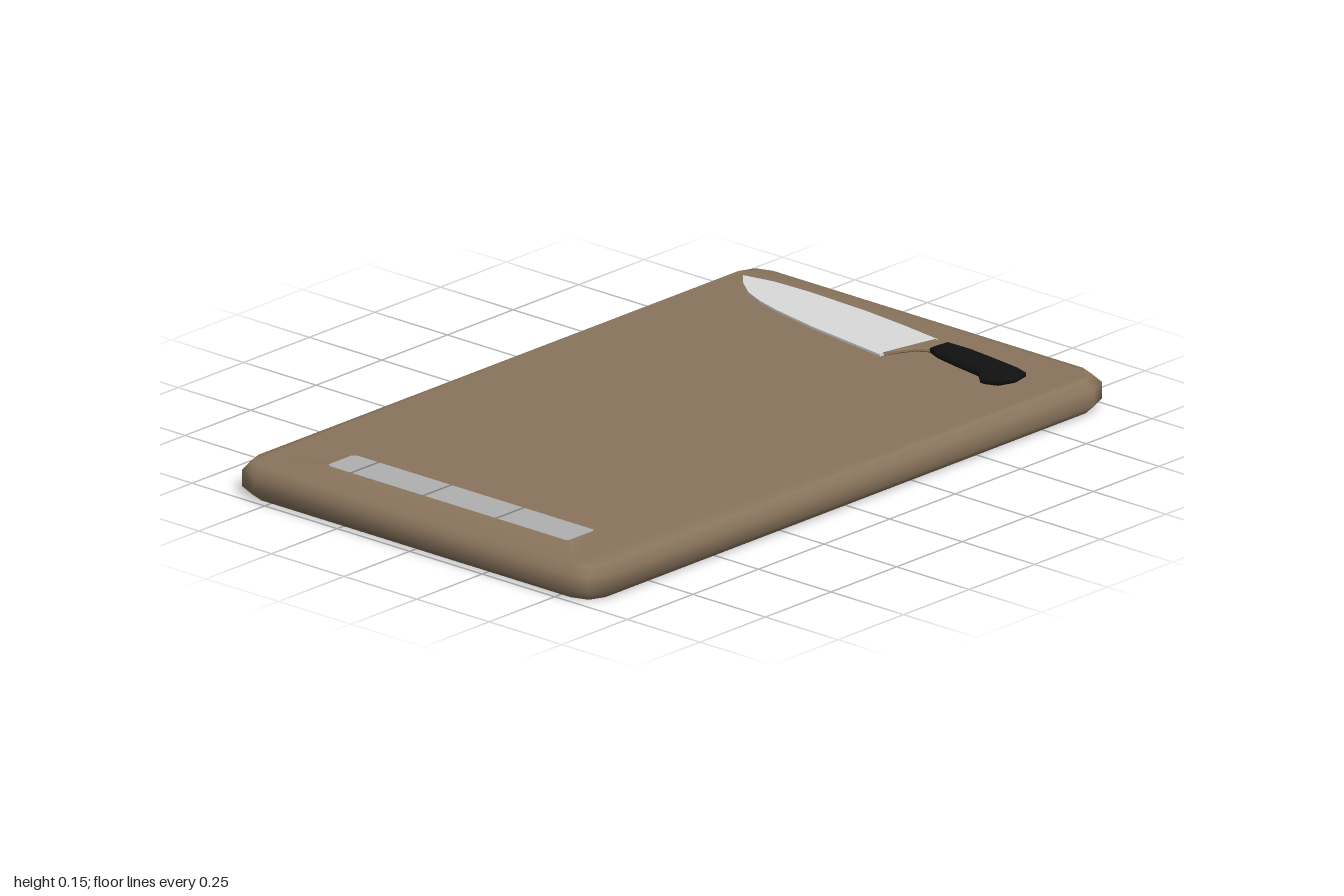
import * as THREE from 'three';
import { mergeVertices, toCreasedNormals } from 'three/addons/utils/BufferGeometryUtils.js';

const wood = new THREE.MeshStandardMaterial({ name: 'wood', color: 0x8a755d });
const steel = new THREE.MeshStandardMaterial({ name: 'steel', color: 0xdcdcdc });
const black = new THREE.MeshStandardMaterial({ name: 'black', color: 0x111111 });

// Rectangle outline with a two-step chamfer at each corner
function chamferedCorners(x0, x1, z0, z1, steps) {
  const cx = (x0 + x1) / 2, cz = (z0 + z1) / 2;
  const hx = (x1 - x0) / 2, hz = (z1 - z0) / 2;
  const points = [];
  for (const [sx, sz] of [[1, 1], [-1, 1], [-1, -1], [1, -1]]) {
    const corner = steps.map(([dx, dz]) => [cx + sx * (hx - dx), cz + sz * (hz - dz)]);
    points.push(...(sx * sz > 0 ? corner : corner.reverse()));
  }
  return points;
}

const toVectors = (points) => points.map(([x, z]) => new THREE.Vector2(x, -z));

// Flat slab lying in the xz plane, its underside at y = bottom, with bevelled rims
function slab(points, bottom, height, bevel, rise, hole) {
  const shape = new THREE.Shape(toVectors(points));
  if (hole) shape.holes.push(new THREE.Path(toVectors(hole)));
  const geometry = new THREE.ExtrudeGeometry(shape, {
    depth: height - 2 * rise,
    bevelEnabled: bevel > 0,
    bevelSize: bevel,
    bevelOffset: -bevel,
    bevelThickness: rise,
    bevelSegments: 1,
  });
  geometry.translate(0, 0, rise);
  geometry.rotateX(-Math.PI / 2);
  geometry.translate(0, bottom, 0);
  return geometry;
}

// Share vertices so the shading runs smoothly over the edges
function smooth(geometry) {
  geometry.deleteAttribute('uv');
  geometry.deleteAttribute('normal');
  const merged = mergeVertices(geometry, 1e-4);
  merged.clearGroups();
  merged.computeVertexNormals();
  return merged;
}

function part(name, geometry, material, parent) {
  const mesh = new THREE.Mesh(geometry, material);
  mesh.name = name;
  parent.add(mesh);
}

export function createModel() {
  const model = new THREE.Group();
  model.name = 'cuttingBoardWithKnife';

  // Board with a grip slot near one end
  const rim = chamferedCorners(-1, 1, -0.623, 0.623, [[0, 0.085], [0.022, 0.025], [0.08, 0]]);
  const slot = chamferedCorners(-0.88, -0.725, -0.443, 0.443, [[0, 0.025], [0.025, 0]]);
  part('board', smooth(slab(rim, 0, 0.092, 0.025, 0.024, slot)), wood, model);

  // Knife, tilted so that the tip is lowest
  const knife = new THREE.Group();
  knife.name = 'knife';
  knife.position.y = 0.119;
  knife.rotation.x = -0.034;
  model.add(knife);

  const blade = [
    [0.63, 0.147], [0.81, 0.184], [0.838, 0.04], [0.862, -0.11], [0.884, -0.32],
    [0.889, -0.45], [0.877, -0.548], [0.83, -0.505], [0.785, -0.446], [0.752, -0.375],
    [0.727, -0.3], [0.684, -0.13],
  ];
  part('blade', toCreasedNormals(slab(blade, -0.003, 0.006, 0, 0), 0.6), steel, knife);

  const bolster = [
    [0.637, 0.147], [0.805, 0.18], [0.8, 0.228], [0.737, 0.224], [0.72, 0.19], [0.69, 0.17],
  ];
  part('bolster', toCreasedNormals(slab(bolster, -0.006, 0.012, 0.004, 0.003), 0.6), wood, knife);

  const handle = [
    [0.738, 0.22], [0.802, 0.226], [0.797, 0.32], [0.782, 0.41], [0.765, 0.5], [0.749, 0.543],
    [0.706, 0.553], [0.655, 0.532], [0.64, 0.484], [0.674, 0.447], [0.695, 0.35], [0.715, 0.27],
  ];
  part('handle', smooth(slab(handle, -0.012, 0.024, 0.012, 0.007)), black, knife);

  return model;
}
